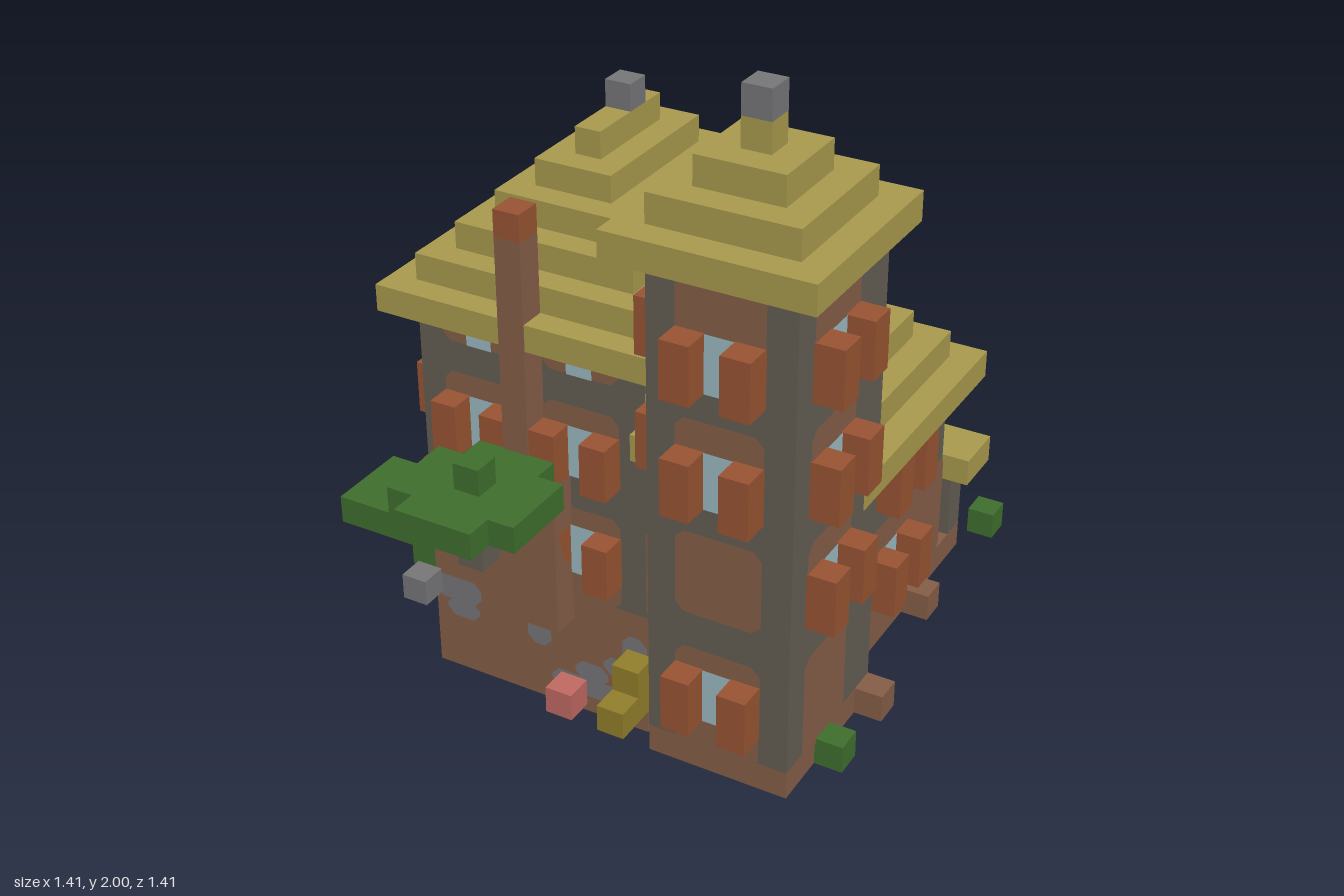
import * as THREE from 'three';

const U = 2 / 27; // one block
const mat = (name, color) => {
  const m = new THREE.MeshStandardMaterial({ color });
  m.name = name;
  return m;
};

export function createModel() {
  const M = {
    thatch: mat('thatch', 0xab9c4e), rust: mat('rust wood', 0x9a5533),
    clay: mat('brown clay', 0x875f48), timber: mat('grey timber', 0x665f54),
    stone: mat('stone', 0x78787a), leaf: mat('leaf green', 0x40702e),
    pink: mat('pink', 0xc26a64), gold: mat('gold', 0x94802c),
    glass: mat('pale glass', 0x9dbcc4),
  };
  const group = new THREE.Group();

  // Box given by its limits in block units (x and z counted from the back left corner)
  const box = (name, m, x0, x1, y0, y1, z0, z1) => {
    const mesh = new THREE.Mesh(new THREE.BoxGeometry((x1 - x0) * U, (y1 - y0) * U, (z1 - z0) * U), M[m]);
    mesh.position.set(((x0 + x1) / 2 - 9.5) * U, (y0 + y1) / 2 * U, ((z0 + z1) / 2 - 9.5) * U);
    mesh.name = name;
    group.add(mesh);
  };
  const cube = (name, m, x, y, z) => box(name, m, x, x + 1, y, y + 1, z, z + 1);

  // Flat sheet with clipped corners lying on a wall; side is '+x', '-x', '+z' or '-z'
  const turn = { '+z': 0, '-z': Math.PI, '+x': Math.PI / 2, '-x': -Math.PI / 2 };
  const sheet = (name, m, side, plane, a0, a1, y0, y1, lift = 0.04, clip = 0.3) => {
    const w = (a1 - a0) / 2 * U, h = (y1 - y0) / 2 * U, c = clip * U;
    const pts = [[-w + c, -h], [w - c, -h], [w, -h + c], [w, h - c], [w - c, h], [-w + c, h], [-w, h - c], [-w, -h + c]];
    const shape = new THREE.Shape(pts.map(p => new THREE.Vector2(...p)));
    const mesh = new THREE.Mesh(new THREE.ShapeGeometry(shape), M[m]);
    const p = (plane + (side[0] === '+' ? lift : -lift) - 9.5) * U, a = ((a0 + a1) / 2 - 9.5) * U;
    mesh.position.set(side[1] === 'x' ? p : a, (y0 + y1) / 2 * U, side[1] === 'x' ? a : p);
    mesh.rotation.y = turn[side];
    mesh.name = name;
    group.add(mesh);
  };
  const pane = (side, plane, a, y0, y1) => sheet('window', 'glass', side, plane, a, a + 1, y0, y1, 0.09, 0);

  // Window two blocks tall with a shutter block on each side
  const windowSet = (side, plane, a, y) => {
    pane(side, plane, a, y, y + 2);
    const p0 = side[0] === '+' ? plane : plane - 1;
    for (const s of [a - 1, a + 1]) {
      if (side[1] === 'x') box('shutter', 'rust', p0, p0 + 1, y, y + 2, s, s + 1);
      else box('shutter', 'rust', s, s + 1, y, y + 2, p0, p0 + 1);
    }
  };

  // Walls: clay footing with timber above
  const walls = (name, x0, x1, z0, z1, top) => {
    box(name + 'Footing', 'clay', x0, x1, 4, 5, z0, z1);
    box(name + 'Walls', 'timber', x0, x1, 5, top, z0, z1);
  };

  // Stepped roof, each layer one block smaller all round
  const steppedRoof = (name, n, x0, x1, y, z0, z1) => {
    for (let k = 0; k < n; k++) box(name, 'thatch', x0 + k, x1 - k, y + k, y + k + 1, z0 + k, z1 - k);
  };

  // Cellar with stone patches
  box('cellar', 'clay', 1, 10, 0, 4, 2, 13);
  const patches = {
    '+z': [13, [[1, 3, 3, 4], [1.5, 2.9, 2.3, 3.1], [5, 6, 2.3, 4], [6, 9, 0.7, 1.5], [7, 8.4, 1.4, 2.2], [8.2, 10, 2, 2.8], [9, 10, 2.7, 4]]],
    '+x': [10, [[2, 4, 2.9, 4], [3, 6, 2, 2.9], [4.2, 6, 0.8, 2.1], [7, 8, 0.8, 3], [9, 10, 2, 3], [11, 13, 2, 3], [11, 12, 0.8, 2.1]]],
    '-x': [1, [[2, 5, 2.4, 4], [3, 5, 1.2, 2.5], [6, 7, 2, 3], [8, 10, 1, 2], [11, 12, 2, 4]]],
    '-z': [2, [[1, 4, 2.2, 4], [2, 3, 1.2, 2.3], [5, 7, 1, 2], [8, 9, 2, 3.4]]],
  };
  for (const [side, [plane, list]] of Object.entries(patches))
    for (const p of list) sheet('stonePatch', 'stone', side, plane, ...p);

  // Main house; the upper storey overhangs the rear porch
  walls('house', 1, 10, 3, 13, 9);
  box('houseUpperWalls', 'timber', 1, 10, 9, 15, 1, 13);
  steppedRoof('houseRoof', 6, 0, 11, 15, 0, 14);
  cube('houseFinial', 'stone', 5, 21, 6);
  for (const x of [3, 7]) {
    for (const [side, plane] of [['+z', 13], ['-z', 1]]) {
      sheet('clayPanel', 'clay', side, plane, x - 1, x + 2, 10, 12.8);
      sheet('clayPanel', 'clay', side, plane, x - 1, x + 2, 14, 15);
      windowSet(side, plane, x, 10);
      pane(side, plane, x, 14, 15);
    }
    sheet('clayPanel', 'clay', '+z', 13, x - 1, x + 2, 5, 8.7);
    windowSet('+z', 13, x, 6);
    sheet('clayPanel', 'clay', '-z', 3, x - 1, x + 2, 5, 8);
    pane('-z', 3, x, 6, 8);
  }
  for (const z of [2, 6, 10]) {
    sheet('clayPanel', 'clay', '-x', 1, z - 1, z + 2, 10, 12.8);
    sheet('clayPanel', 'clay', '-x', 1, z - 1, z + 2, 14, 15);
    windowSet('-x', 1, z, 10);
    pane('-x', 1, z, 14, 15);
    if (z > 2) {
      sheet('clayPanel', 'clay', '-x', 1, z - 1, z + 2, 5, 8.7);
      windowSet('-x', 1, z, 6);
    }
  }
  windowSet('+x', 10, 2, 10);
  sheet('clayPanel', 'clay', '+x', 10, 2, 5, 14, 15);

  // Chimney on the front wall
  box('chimneyBase', 'clay', 4, 7, 4, 10, 13, 14.1);
  box('chimneyStack', 'clay', 5, 6, 10, 19, 13, 14.05);
  box('chimneyPot', 'rust', 5, 6, 19, 20, 13, 14.05);

  // Side wing
  walls('wing', 10, 17, 4, 13, 12);
  box('wingRoof', 'thatch', 10, 18, 12, 13, 3, 13);
  box('wingRoof', 'thatch', 10, 13, 12, 13, 13, 14);
  box('wingRoof', 'thatch', 10, 12, 13, 14, 4, 13);
  box('wingRoof', 'thatch', 12, 17, 13, 14, 4, 12);
  steppedRoof('wingRoof', 3, 11, 16, 14, 5, 12);
  sheet('wingUnderside', 'rust', '+x', 17, 11, 16, 5, 12);
  const under = group.children[group.children.length - 1];
  under.rotation.set(Math.PI / 2, 0, 0);
  under.position.set((13.5 - 9.5) * U, 3.96 * U, (8.5 - 9.5) * U);
  under.scale.set(1, 1, 1);
  sheet('clayPanel', 'clay', '+x', 17, 4, 12, 5, 9);
  for (const z of [5.5, 10.3]) sheet('clayPanel', 'clay', '+x', 17, z, z + 0.8, 10.3, 12);
  for (const y of [6, 10]) {
    windowSet('+x', 17, 8, y);
    pane('+z', 13, 12, y, y + 2);
  }
  sheet('clayPanel', 'clay', '+z', 13, 10, 12, 5, 8.8);
  sheet('clayPanel', 'clay', '+z', 13, 10.4, 12, 10, 12);
  for (const x of [12, 15]) {
    sheet('clayPanel', 'clay', '-z', 4, x - 1, x + 2, 5, 8);
    sheet('clayPanel', 'clay', '-z', 4, x - 1, x + 2, 10, 12);
    pane('-z', 4, x, 6, 8);
    pane('-z', 4, x, 10, 12);
  }

  // Corner tower with a thicker rear wall
  walls('tower', 13, 18, 13, 18, 22);
  walls('towerRear', 12, 18, 12, 13, 12);
  box('towerRearUpper', 'timber', 12, 18, 13, 22, 12, 13);
  steppedRoof('towerRoof', 4, 12, 19, 22, 12, 19);
  cube('towerFinial', 'stone', 15, 26, 15);
  const levels = [[4.8, 8.7], [10, 13], [14, 17], [18, 22]];
  const towerSides = [['+z', 18, [6, 14, 18]], ['+x', 18, [10, 14, 18]], ['-x', 13, [14, 18]], ['-z', 12, []]];
  for (const [side, plane, rows] of towerSides) {
    for (const [y0, y1] of levels) if (side !== '-z' || y0 > 13) sheet('clayPanel', 'clay', side, plane, 14, 17, y0, y1);
    for (const y of rows) windowSet(side, plane, 15, y);
  }

  // Rear porches: floors, roofs and posts
  box('housePorchFloor', 'clay', 1, 11, 4, 5, 0, 3);
  box('housePorchRoof', 'thatch', 0, 11, 8, 9, 0, 3);
  for (const x of [1, 3, 5, 7, 9, 10]) box('porchPost', 'timber', x, x + 1, 5, 8, 0, 1);
  box('wingPorchFloor', 'clay', 11, 17, 4, 5, 2, 4);
  box('wingPorchRoof', 'thatch', 11, 18, 8, 9, 2, 4);
  for (const x of [12, 14, 16]) box('porchPost', 'timber', x, x + 1, 5, 8, 2, 3);
  for (const x of [4, 8]) cube('porchFlower', 'pink', x, 6, 1);
  cube('porchFlower', 'pink', 10, 6, 1);
  cube('porchLamp', 'gold', 10, 7, 1);
  for (const y of [5, 7]) cube('porchCrate', 'gold', 15, y, 3);

  // Tree in front of the house
  box('treeTrunk', 'timber', 5, 6, 8, 10, 16, 17);
  box('treeCrown', 'leaf', 3, 8, 10, 11, 15, 18);
  box('treeCrown', 'leaf', 4, 7, 10, 11, 14, 19);
  box('treeBranch', 'leaf', 1, 4, 9, 10, 15, 18);
  cube('treeTip', 'leaf', 5, 11, 16);

  // Shrubs, flower, crates and loose blocks
  for (const [x, z] of [[0, 0], [0, 12], [17, 0], [18, 15]]) cube('shrub', 'leaf', x, 4, z);
  for (const [x, z] of [[0, 6], [17, 6], [18, 12]]) cube('clayBlock', 'clay', x, 4, z);
  cube('stoneBlock', 'stone', 1, 4, 14);
  cube('flower', 'pink', 9, 4, 17);
  box('tallCrate', 'gold', 11, 12, 4, 6, 16, 17);
  cube('lowCrate', 'gold', 11, 4, 17);

  return group;
}
